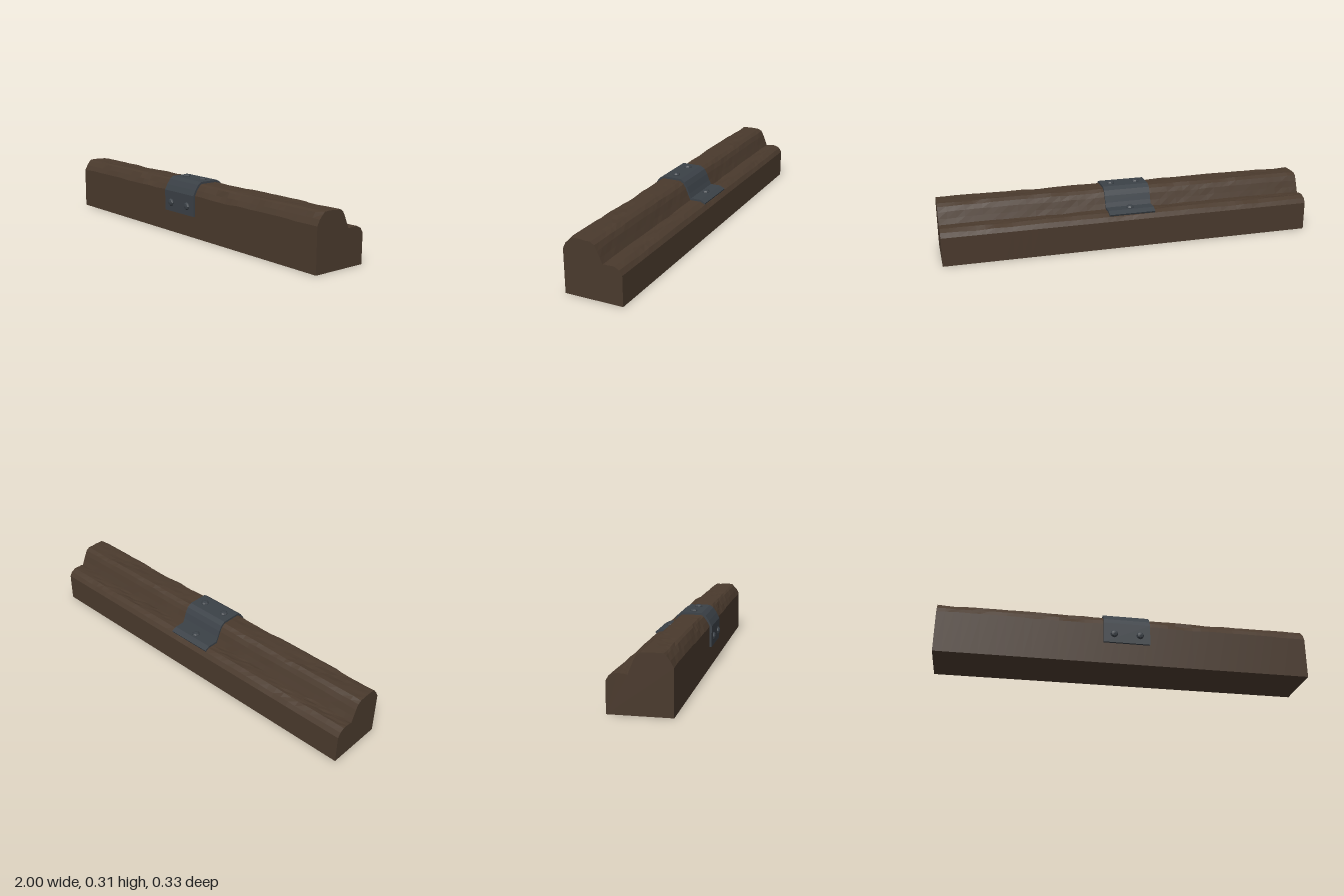
import * as THREE from 'three';

const wood = new THREE.MeshStandardMaterial({ color: 0x4a3a2d, flatShading: true });
const iron = new THREE.MeshStandardMaterial({ color: 0x3b4147, flatShading: true });

// Stepped upper contour as [z, y], running from the front face to the back face
const contour = [
  [0.14, 0.228], [0.126, 0.255], [0.108, 0.279], [0.095, 0.287], [-0.006, 0.287],
  [-0.026, 0.274], [-0.04, 0.25], [-0.053, 0.218], [-0.066, 0.189], [-0.125, 0.19],
  [-0.15, 0.176], [-0.165, 0.152],
];

// Extrude a [z, y] outline along x, centred on x = 0
function extrudeX(points, length, steps = 1) {
  const shape = new THREE.Shape(points.map(([z, y]) => new THREE.Vector2(-z, y)));
  const geo = new THREE.ExtrudeGeometry(shape, { depth: length, steps, bevelEnabled: false });
  return geo.translate(0, 0, -length / 2).rotateY(Math.PI / 2);
}

// Hewn timber: the contour gets extra points, then is worn inwards along its length
function makeBeam() {
  const outline = [[0.14, 0]];
  contour.forEach(([z, y], i) => {
    outline.push([z, y]);
    const next = contour[i + 1];
    if (!next) return;
    const parts = Math.abs(next[0] - z) > 0.05 ? 4 : 1;
    for (let k = 1; k < parts; k++) {
      const t = k / parts;
      outline.push([z + (next[0] - z) * t, y + (next[1] - y) * t]);
    }
  });
  outline.push([-0.165, 0]);

  const geo = extrudeX(outline, 2, 44);
  const p = geo.attributes.position;
  for (let i = 0; i < p.count; i++) {
    const x = p.getX(i), y = p.getY(i), z = p.getZ(i);
    if (y < 0.16) continue;
    const wave = Math.sin(x * 9 + z * 35) + Math.sin(x * 23 - z * 90) * 0.7 + Math.sin(x * 41 + z * 210) * 0.5;
    const wear = 0.0022 * Math.max(0, wave + 0.6);
    p.setY(i, y - wear);
    if (z < 0.135 && z > 0.1) p.setZ(i, z - wear);
  }
  geo.computeVertexNormals();
  const mesh = new THREE.Mesh(geo, wood);
  mesh.name = 'timberBeam';
  return mesh;
}

// Bent metal plate following the contour
function makeStrap() {
  const outer = [
    [0.152, 0.117], [0.152, 0.228], [0.137, 0.257], [0.118, 0.284], [0.098, 0.298], [-0.008, 0.298],
    [-0.032, 0.283], [-0.047, 0.257], [-0.06, 0.223], [-0.071, 0.2], [-0.126, 0.2], [-0.154, 0.186],
  ];
  const inner = [[0.14, 0.117], ...contour.slice(0, 10), [-0.15, 0.177]];
  const mesh = new THREE.Mesh(extrudeX([...outer, ...inner.reverse()], 0.25), iron);
  mesh.name = 'metalStrap';
  return mesh;
}

// Low domed bolt head, base at the origin, pointing up y
function makeBolt(name, x, y, z, tilt = 0) {
  const profile = [[0.021, -0.003], [0.021, 0.003], [0.015, 0.01], [0, 0.0135]];
  const geo = new THREE.LatheGeometry(profile.map(([r, h]) => new THREE.Vector2(r, h)), 8);
  const mesh = new THREE.Mesh(geo, iron);
  mesh.name = name;
  mesh.position.set(x, y, z);
  mesh.rotation.x = tilt;
  return mesh;
}

export function createModel() {
  const model = new THREE.Group();
  model.name = 'strappedBeam';
  model.add(makeBeam(), makeStrap());
  for (const [side, x] of [['left', 0.07], ['right', -0.07]]) {
    model.add(makeBolt(side + 'FrontBolt', x, 0.166, 0.152, Math.PI / 2));
    model.add(makeBolt(side + 'TopBolt', x, 0.298, 0.045));
  }
  model.add(makeBolt('backBolt', 0, 0.2, -0.097));
  return model;
}
